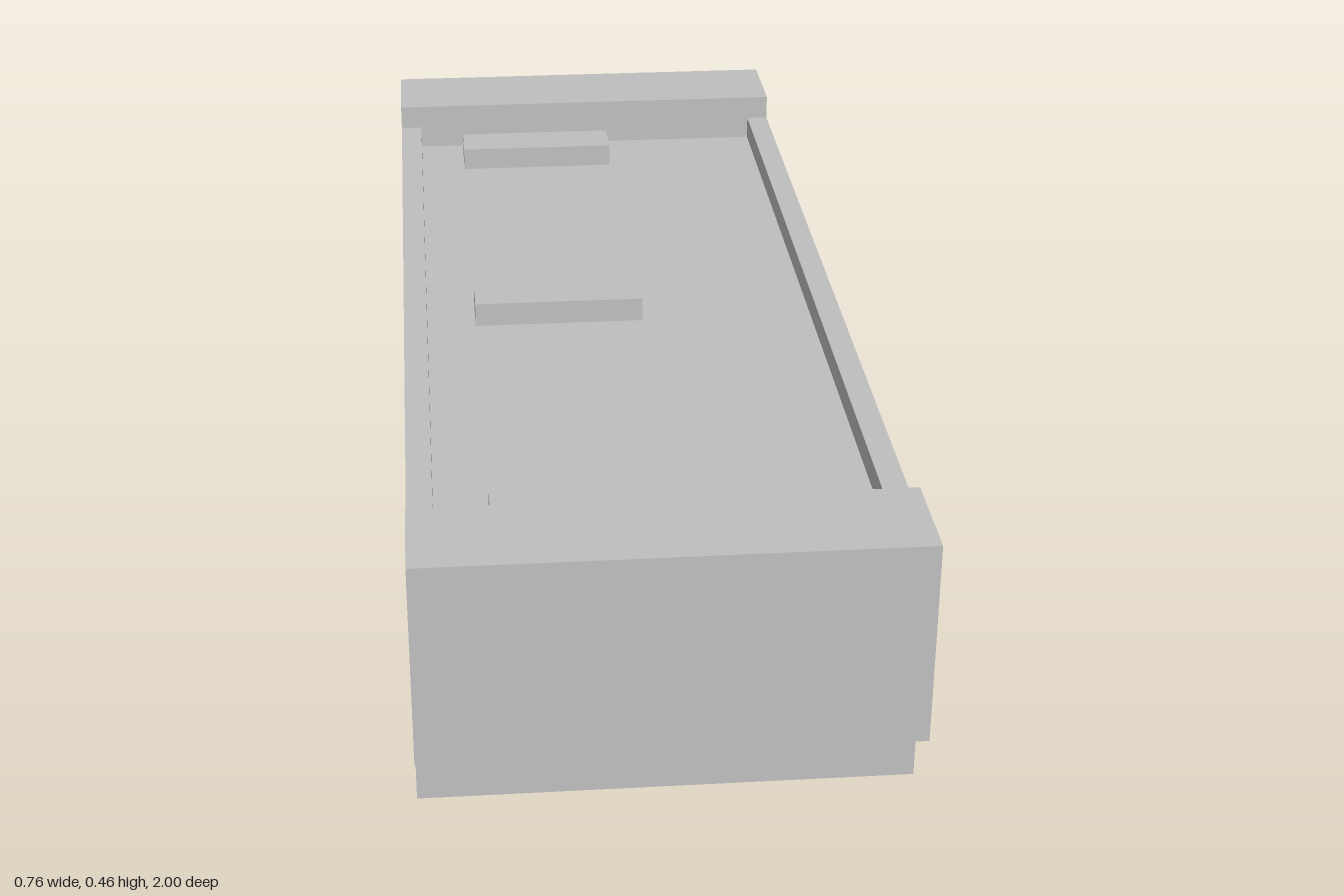
import * as THREE from 'three';

const HALF_W = 0.38, STEP_Y = 0.125, FLOOR_Y = 0.373, RIM_Y = 0.415, TOP_Y = 0.46;
const NOTCH_Y = 0.09, BASE_Z = 0.91, SLOT_Z = 0.74, END_Z = 0.83;

export function createModel() {
  const model = new THREE.Group();
  const grey = new THREE.MeshStandardMaterial({ color: 0xc0c0c0 });
  grey.name = 'light grey';

  const add = (name, geometry) => {
    const mesh = new THREE.Mesh(geometry, grey);
    mesh.name = name;
    model.add(mesh);
  };

  // Box given by its limits on each axis
  const block = (name, x0, x1, y0, y1, z0, z1) => {
    const g = new THREE.BoxGeometry(x1 - x0, y1 - y0, z1 - z0);
    add(name, g.translate((x0 + x1) / 2, (y0 + y1) / 2, (z0 + z1) / 2));
  };

  // Horizontal slab with the two long underside slots cut through it
  const slottedSlab = (name, outline, y0, y1) => {
    const shape = new THREE.Shape(outline.map(([x, z]) => new THREE.Vector2(x, z)));
    for (const s of [-1, 1]) {
      const corners = [[0.042, -SLOT_Z], [0.042, SLOT_Z], [0.21, SLOT_Z], [0.21, -SLOT_Z]];
      shape.holes.push(new THREE.Path(corners.map(([x, z]) => new THREE.Vector2(s * x, z))));
    }
    const g = new THREE.ExtrudeGeometry(shape, { depth: y1 - y0, bevelEnabled: false });
    add(name, g.rotateX(-Math.PI / 2).translate(0, y0, 0));
  };

  // Base: lower layer with shallow side notches, upper layer full width
  const n = 0.336;
  slottedSlab('notchedBase', [
    [-HALF_W, -BASE_Z], [HALF_W, -BASE_Z], [HALF_W, -SLOT_Z], [n, -SLOT_Z],
    [n, SLOT_Z], [HALF_W, SLOT_Z], [HALF_W, BASE_Z], [-HALF_W, BASE_Z],
    [-HALF_W, SLOT_Z], [-n, SLOT_Z], [-n, -SLOT_Z], [-HALF_W, -SLOT_Z],
  ], 0, NOTCH_Y);
  slottedSlab('upperBase', [
    [-HALF_W, -BASE_Z], [HALF_W, -BASE_Z], [HALF_W, BASE_Z], [-HALF_W, BASE_Z],
  ], NOTCH_Y, STEP_Y);

  // Main body, whose top is the tray floor
  block('body', -HALF_W, HALF_W, STEP_Y, FLOOR_Y, -1, 1);

  // Raised ends and low side rims around the tray
  block('frontEnd', -HALF_W, HALF_W, FLOOR_Y, TOP_Y, END_Z, 1);
  block('backEnd', -HALF_W, HALF_W, FLOOR_Y, TOP_Y, -1, -END_Z);
  block('leftRim', 0.34, HALF_W, FLOOR_Y, RIM_Y, -END_Z, END_Z);
  block('rightRim', -HALF_W, -0.34, FLOOR_Y, RIM_Y, -END_Z, END_Z);

  // Three cross bars on the tray floor
  for (const z of [-0.74, 0, 0.74]) {
    block('crossBar', -0.255, 0.04, FLOOR_Y, RIM_Y, z - 0.0425, z + 0.0425);
  }
  return model;
}
